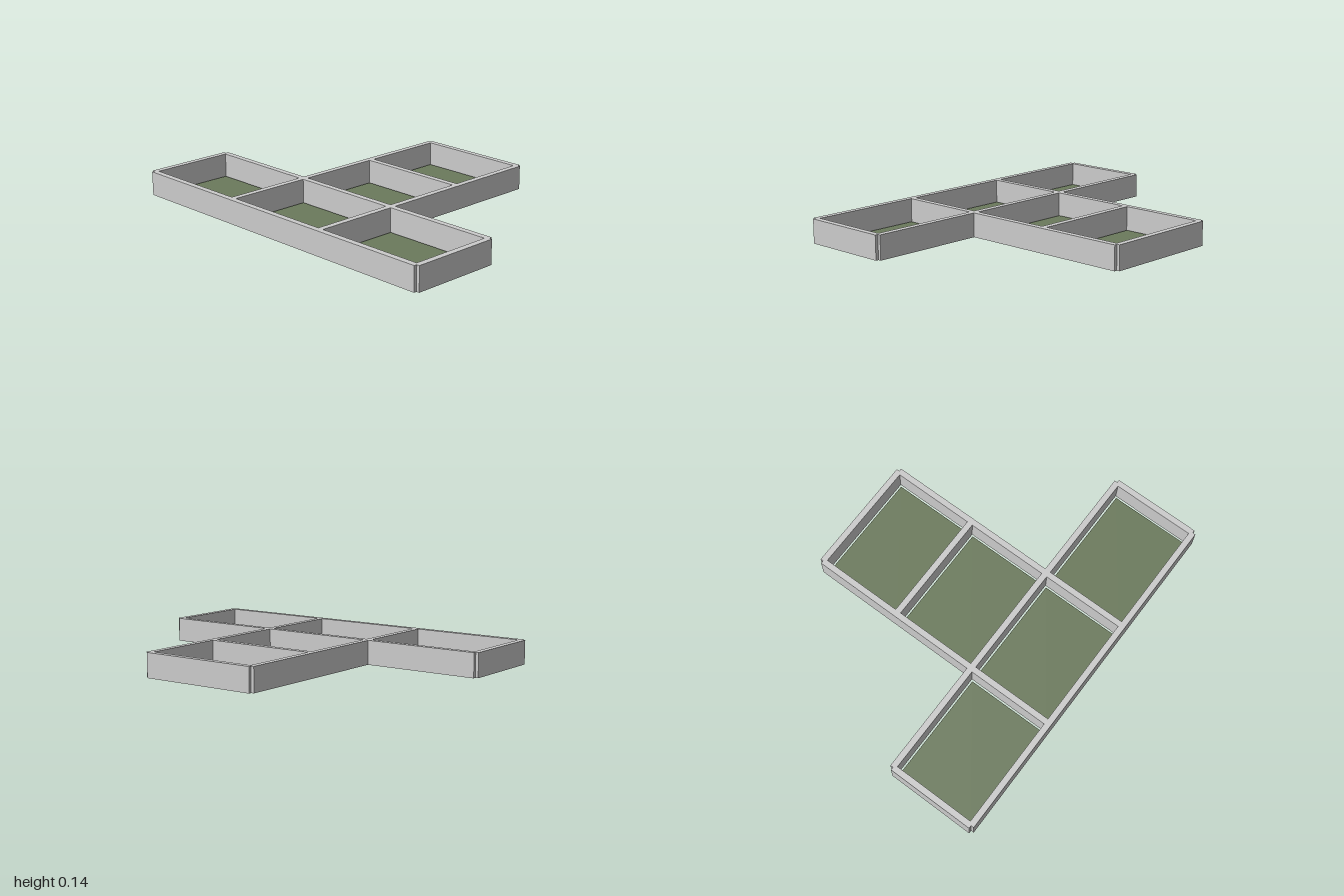
import * as THREE from 'three';

export function createModel() {
  const model = new THREE.Group();
  model.name = 'partitionedTray';

  const W = 0.6557, D = 0.4918;       // cell pitch in x and z
  const T = 0.0328, H = 0.131;        // wall thickness and height
  const BASE = 0.005;                 // wall underside; floor is centred on it
  const GAP = 0.0525;                 // floor panel is smaller than its cell

  const wallMat = new THREE.MeshStandardMaterial({ color: 0xcccccc });
  const floorMat = new THREE.MeshStandardMaterial({ color: 0x6b7a5c });

  const addBox = (name, mat, size, pos) => {
    const mesh = new THREE.Mesh(new THREE.BoxGeometry(...size), mat);
    mesh.name = name;
    mesh.position.set(...pos);
    model.add(mesh);
  };

  // T-shaped layout of cells: three across the front, two behind the middle
  const cells = [[-1, 1], [0, 1], [1, 1], [0, 0], [0, -1]];

  // One wall per cell edge; neighbouring cells share theirs
  const built = new Set();
  const addWall = (cx, cz, alongX) => {
    const key = `${cx},${cz}`;
    if (built.has(key)) return;
    built.add(key);
    const size = alongX ? [W, H, T] : [T, H, D];
    addBox(alongX ? 'crossWall' : 'sideWall', wallMat, size, [cx * W, BASE + H / 2, cz * D]);
  };

  for (const [cx, cz] of cells) {
    addBox('floorPanel', floorMat, [W - GAP, BASE * 2, D - GAP], [cx * W, BASE, cz * D]);
    for (const s of [-0.5, 0.5]) {
      addWall(cx, cz + s, true);
      addWall(cx + s, cz, false);
    }
  }

  return model;
}
